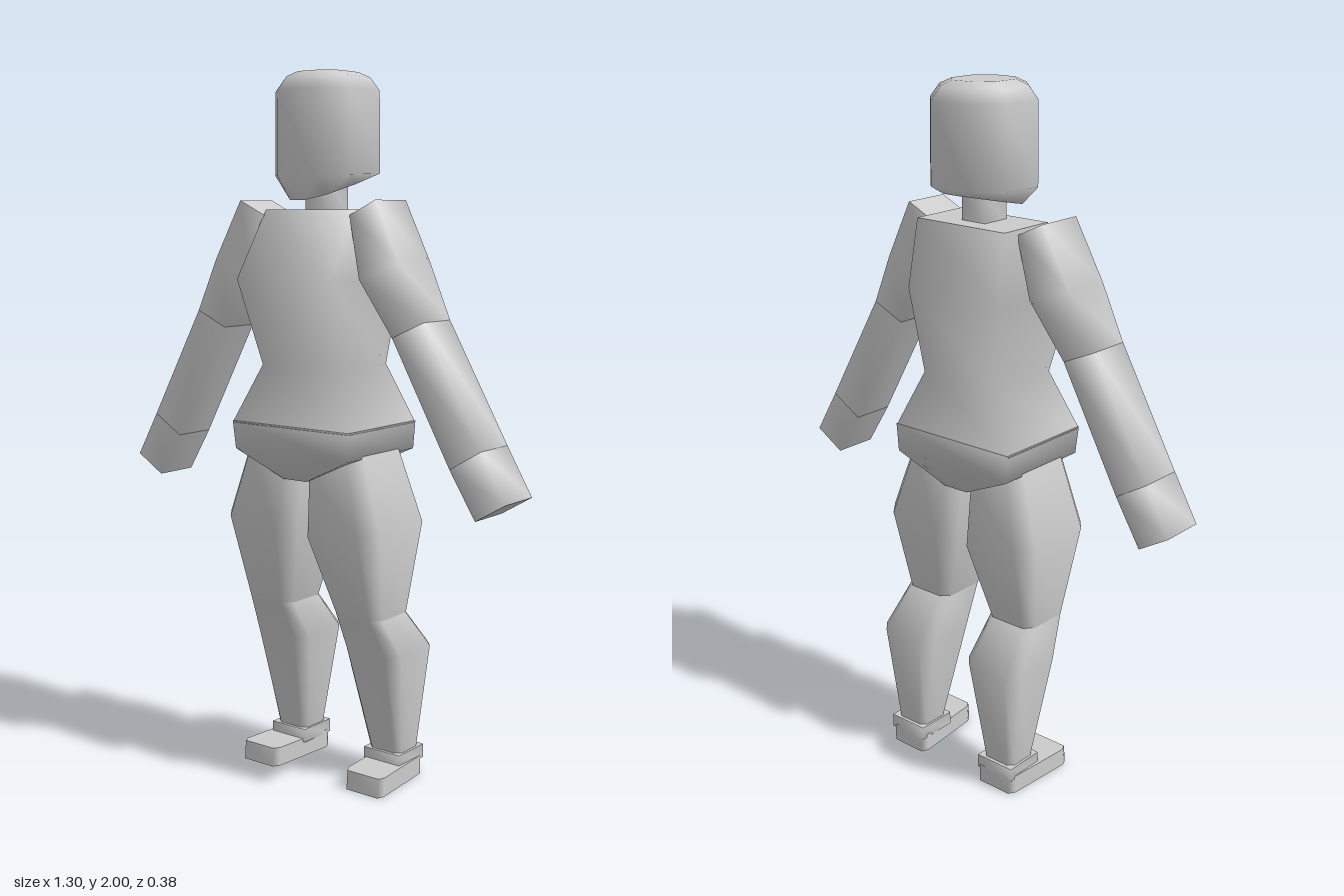
import * as THREE from 'three';

const material = new THREE.MeshStandardMaterial({ color: 0xcccccc, side: THREE.DoubleSide });

// One cross-section: edge from inner point i to outer point o, spread from z back to z front.
// cut = corner chamfer as a fraction; fx, fy shift the front of the section.
function ring({ i, o, z, cut = 0, fx = 0, fy = 0 }) {
  const c = cut;
  const uv = c
    ? [[c, 0], [0, c], [0, 1 - c], [c, 1], [1 - c, 1], [1, 1 - c], [1, c], [1 - c, 0]]
    : [[0, 0], [0, 1], [1, 1], [1, 0]];
  return uv.map(([u, v]) => new THREE.Vector3(
    i[0] + (o[0] - i[0]) * u + fx * v,
    i[1] + (o[1] - i[1]) * u + fy * v,
    z[0] + (z[1] - z[0]) * v));
}

// Section centred on x = 0
const sym = (y, x, back, front, extra = {}) => ({ i: [-x, y], o: [x, y], z: [back, front], ...extra });
// Section with free inner and outer edges
const sec = (ix, iy, ox, oy, back, front, cut = 0, fx = 0) => ({ i: [ix, iy], o: [ox, oy], z: [back, front], cut, fx });
const mirrored = (s) => ({ ...s, i: [-s.o[0], s.o[1]], o: [-s.i[0], s.i[1]], fx: -(s.fx || 0) });

// Skin the sections from top to bottom: smooth sides, hard-edged end caps
function loft(name, sections) {
  const rings = sections.map(ring);
  const n = rings[0].length;
  const points = rings.flat();
  const index = [];
  for (let r = 0; r < rings.length - 1; r++) {
    for (let j = 0; j < n; j++) {
      const a = r * n + j, b = r * n + (j + 1) % n;
      index.push(a, a + n, b + n, a, b + n, b);
    }
  }
  const cap = (corners) => {
    const start = points.length;
    points.push(...corners);
    for (let j = 1; j < n - 1; j++) index.push(start, start + j, start + j + 1);
  };
  cap(rings[0]);
  cap([...rings[rings.length - 1]].reverse());
  const geometry = new THREE.BufferGeometry().setFromPoints(points);
  geometry.setIndex(index);
  geometry.computeVertexNormals();
  const mesh = new THREE.Mesh(geometry, material);
  mesh.name = name;
  return mesh;
}

export function createModel() {
  const model = new THREE.Group();
  model.name = 'figure';

  // Head with rounded crown and a chin that drops towards the front
  model.add(loft('head', [
    sym(2.0, 0.075, -0.09, 0.075, { cut: 0.25 }),
    sym(1.985, 0.105, -0.12, 0.105, { cut: 0.25 }),
    sym(1.95, 0.128, -0.143, 0.128, { cut: 0.25 }),
    sym(1.73, 0.13, -0.145, 0.13, { cut: 0.25, fy: -0.01 }),
    sym(1.715, 0.05, -0.14, 0.125, { cut: 0.25, fy: -0.06 }),
  ]));
  model.add(loft('neck', [sym(1.72, 0.04, -0.05, 0.04), sym(1.61, 0.04, -0.05, 0.04)]));

  // Torso: chest, waist, flared hem
  model.add(loft('torso', [
    sym(1.63, 0.153, -0.105, 0.075),
    sym(1.44, 0.162, -0.135, 0.19),
    sym(1.2, 0.13, -0.11, 0.12),
    sym(1.035, 0.205, -0.15, 0.165),
  ]));
  model.add(loft('pelvis', [
    sym(1.04, 0.205, -0.15, 0.165),
    sym(0.96, 0.198, -0.15, 0.16),
    sym(0.887, 0.04, -0.13, 0.14),
  ]));

  // Limbs on the left side, repeated mirrored on the right
  const limbs = {
    UpperArm: [
      sec(0.15, 1.615, 0.235, 1.655, -0.05, 0.09),
      sec(0.19, 1.445, 0.32, 1.49, -0.045, 0.1),
      sec(0.295, 1.295, 0.395, 1.34, -0.03, 0.095),
    ],
    Forearm: [
      sec(0.295, 1.295, 0.395, 1.34, -0.03, 0.095),
      sec(0.48, 0.963, 0.575, 1.02, -0.035, 0.095),
    ],
    Hand: [
      sec(0.48, 0.963, 0.575, 1.02, -0.035, 0.095),
      sec(0.56, 0.836, 0.65, 0.89, -0.038, 0.095),
    ],
    Thigh: [
      sec(0.015, 0.9, 0.2, 0.968, -0.115, 0.13, 0.16),
      sec(0.018, 0.73, 0.265, 0.765, -0.15, 0.155, 0.16),
      sec(0.077, 0.505, 0.238, 0.505, -0.09, 0.08, 0.16),
    ],
    Shin: [
      sec(0.077, 0.505, 0.238, 0.505, -0.09, 0.08, 0.16),
      sec(0.068, 0.39, 0.26, 0.39, -0.188, 0.025, 0.16),
      sec(0.12, 0.06, 0.225, 0.06, -0.15, -0.055, 0.16),
    ],
    Ankle: [
      sec(0.11, 0.085, 0.235, 0.085, -0.163, -0.04),
      sec(0.11, 0.045, 0.235, 0.045, -0.163, -0.04),
    ],
    Foot: [
      sec(0.107, 0.055, 0.235, 0.055, -0.163, 0.075, 0.08, 0.02),
      sec(0.107, 0, 0.235, 0, -0.163, 0.08, 0.08, 0.02),
    ],
  };
  for (const [part, sections] of Object.entries(limbs)) {
    model.add(loft('left' + part, sections));
    model.add(loft('right' + part, sections.map(mirrored)));
  }
  return model;
}
